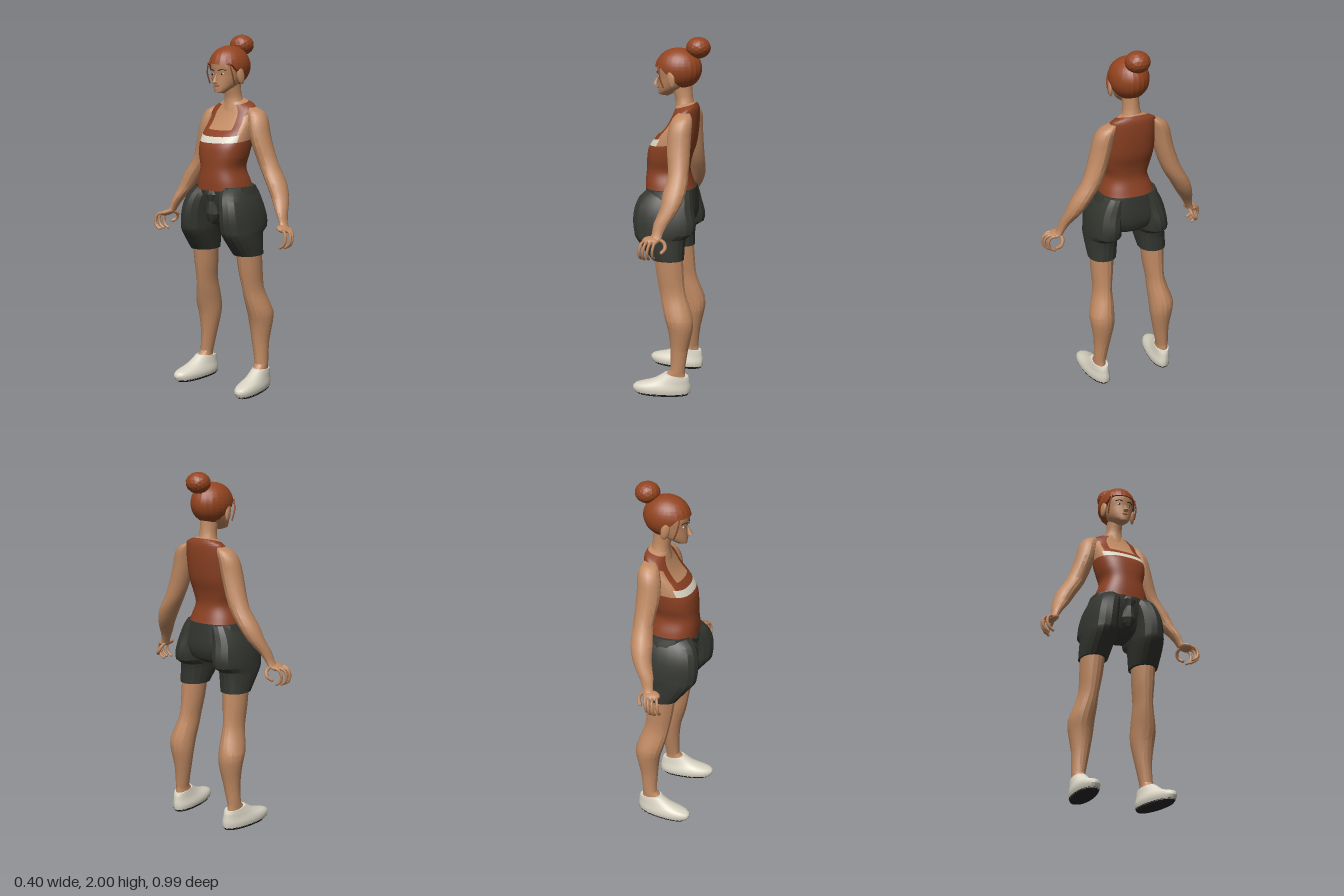
import * as THREE from 'three';
import { toCreasedNormals } from 'three/addons/utils/BufferGeometryUtils.js';

const mat = (name, color) => Object.assign(new THREE.MeshStandardMaterial({ color }), { name });
const skin = mat('skin', 0xbf8962);
const topCloth = mat('rust cloth', 0x8a4022);
const hairMat = mat('auburn hair', 0x93441f);
const shortsMat = mat('charcoal cloth', 0x343630);
const pale = mat('off white', 0xd9d4c4);
const soleMat = mat('dark sole', 0x262725);
const dark = mat('dark brown', 0x2c1a12);
const lipMat = mat('lips', 0x9a5a46);

function named(m, name) { m.name = name; return m; }

// Smooth interpolation through rows of six numbers; a missing tilt counts as zero
function smoothRows(rows, sub) {
  const at = i => {
    const [y, x0, x1, z, rz, tilt = 0] = rows[Math.max(0, Math.min(rows.length - 1, i))];
    return [y, x0, x1, z, rz, tilt];
  };
  const out = [];
  for (let i = 0; i < rows.length - 1; i++) {
    const [p, q, r, s] = [at(i - 1), at(i), at(i + 1), at(i + 2)];
    for (let k = 0; k < sub; k++) {
      const t = k / sub;
      out.push(q.map((b, c) => {
        const a = p[c], d = r[c], e = s[c];
        return b + 0.5 * t * (d - a + t * (2 * a - 5 * b + 4 * d - e + t * (3 * (b - d) + e - a)));
      }));
    }
  }
  out.push(at(rows.length - 1));
  return out;
}

// Body of stacked oval rings, low to high: [y, xFront, xBack, z, halfWidth, tilt]
// pick(row, degrees from the front) chooses the material of each panel
function loft(name, rows, materials, o = {}) {
  const { s = 1, seg = 16, sub = 2, pow = 1, pick = () => 0, bend = () => {}, crease = 0.5 } = o;
  const mats = [].concat(materials);
  const rings = smoothRows(rows, sub);
  const n = rings.length;
  const pts = [];
  const curve = v => Math.sign(v) * Math.abs(v) ** pow;
  const add = (x, y, z) => {
    const p = new THREE.Vector3(x, y, z);
    bend(p);
    p.z *= s;
    pts.push(p);
  };
  for (const [y, x0, x1, z, rz, tilt] of rings) {
    for (let j = 0; j < seg; j++) {
      const a = j / seg * Math.PI * 2;
      const dx = (x1 - x0) / 2 * curve(Math.cos(a));
      add((x0 + x1) / 2 + dx, y + tilt * dx, z + rz * curve(Math.sin(a)));
    }
  }
  for (const r of [rings[0], rings[n - 1]]) add((r[1] + r[2]) / 2, r[0], r[3]);

  const lists = mats.map(() => []);
  const tri = (list, a, b, c) => list.push(...(s > 0 ? [a, b, c] : [a, c, b]));
  const last = (n - 1) * seg;
  for (let j = 0; j < seg; j++) {
    const k = (j + 1) % seg;
    const angle = Math.abs((j + 0.5) / seg * 360 - 180);
    for (let i = 0; i < n - 1; i++) {
      const a = i * seg + j, b = i * seg + k;
      const list = lists[pick((i + 0.5) / sub, angle)];
      tri(list, a, a + seg, b);
      tri(list, b, a + seg, b + seg);
    }
    tri(lists[pick(0, angle)], n * seg, j, k);
    tri(lists[pick(rows.length - 1, angle)], n * seg + 1, last + k, last + j);
  }
  const g = new THREE.BufferGeometry().setFromPoints(pts);
  g.setIndex(lists.flat());
  let start = 0;
  lists.forEach((l, i) => { g.addGroup(start, l.length, i); start += l.length; });
  return named(new THREE.Mesh(toCreasedNormals(g, crease), mats.length > 1 ? mats : mats[0]), name);
}

function ball(name, material, pos, scale, w = 14, h = 10) {
  const m = named(new THREE.Mesh(new THREE.SphereGeometry(1, w, h), material), name);
  m.position.set(...pos);
  m.scale.set(...scale);
  return m;
}

function tube(name, material, points, r) {
  const path = new THREE.CatmullRomCurve3(points.map(p => new THREE.Vector3(...p)));
  const g = named(new THREE.Group(), name);
  g.add(new THREE.Mesh(new THREE.TubeGeometry(path, 10, r, 7), material));
  for (const p of [points[0], points[points.length - 1]]) g.add(ball(name + 'End', material, p, [r, r, r], 7, 6));
  return g;
}

function makeTorso() {
  // Sleeveless top with a scooped neck, open armholes and a pale chest band
  const pick = (row, angle) => {
    if (row > 4.2 && row < 4.8 && angle < 60) return 2;
    if (row > 7.6) return 1;
    if (row > 5.4 && angle < 30) return 1;
    if (row > 4.2 && row < 6.4 && angle > 52 && angle < 105) return 1;
    return 0;
  };
  return loft('torso', [
    [1.15, -0.155, 0.125, 0, 0.158], [1.2, -0.155, 0.108, 0, 0.145], [1.27, -0.15, 0.09, 0, 0.122],
    [1.34, -0.146, 0.1, 0, 0.138], [1.41, -0.134, 0.125, 0, 0.147, 0.08], [1.49, -0.095, 0.138, 0, 0.146, 0.3],
    [1.56, -0.035, 0.138, 0, 0.14, 0.5], [1.605, 0.0, 0.13, 0, 0.128, 0.4], [1.64, 0.015, 0.118, 0, 0.062, 0.2],
  ], [topCloth, skin, pale], { seg: 48, sub: 5, pow: 0.82, pick });
}

function makeHead() {
  const g = named(new THREE.Group(), 'head');
  g.add(loft('neck', [[1.58, 0.0, 0.125, 0, 0.075], [1.64, 0.01, 0.114, 0, 0.054], [1.68, 0.004, 0.105, 0, 0.045], [1.76, -0.02, 0.1, 0, 0.045]], skin));
  g.add(loft('face', [
    [1.682, -0.072, -0.03, 0, 0.014, -0.1], [1.695, -0.086, 0.01, 0, 0.034, 0.2], [1.72, -0.088, 0.06, 0, 0.058, 0.1],
    [1.755, -0.088, 0.09, 0, 0.073], [1.79, -0.088, 0.1, 0, 0.081], [1.84, -0.096, 0.1, 0, 0.086], [1.9, -0.06, 0.08, 0, 0.06],
  ], skin, { seg: 20 }));
  const nose = named(new THREE.Mesh(new THREE.ConeGeometry(0.016, 0.055, 5), skin), 'nose');
  nose.position.set(-0.095, 1.765, 0);
  nose.rotation.z = -0.3;
  g.add(nose, ball('lips', lipMat, [-0.087, 1.724, 0], [0.005, 0.006, 0.018], 10, 6));

  // Hair cap, cut along a hairline that drops towards the nape
  const cap = new THREE.SphereGeometry(1, 22, 18);
  const p = cap.attributes.position;
  for (let i = 0; i < p.count; i++) {
    const x = 0.025 + p.getX(i) * 0.13;
    const line = THREE.MathUtils.mapLinear(THREE.MathUtils.clamp(x, -0.06, 0.06), -0.06, 0.06, 1.84, 1.72);
    p.setXYZ(i, x, Math.max(line, 1.828 + p.getY(i) * 0.113), p.getZ(i) * 0.107);
  }
  g.add(named(new THREE.Mesh(toCreasedNormals(cap, 0.25), hairMat), 'hair'));
  const bun = named(new THREE.Mesh(toCreasedNormals(new THREE.IcosahedronGeometry(1, 2), 0.15), hairMat), 'bun');
  bun.position.set(0.134, 1.942, 0);
  bun.scale.set(0.068, 0.058, 0.068);
  g.add(bun);

  for (const s of [1, -1]) {
    const ear = ball('ear', skin, [0.002, 1.78, s * 0.096], [0.024, 0.05, 0.013], 10, 8);
    ear.rotation.set(0, -s * 0.3, 0.2);
    g.add(ear);
    g.add(ball('eyeWhite', pale, [-0.079, 1.787, s * 0.034], [0.006, 0.006, 0.012], 10, 6));
    g.add(ball('iris', dark, [-0.082, 1.787, s * 0.034], [0.005, 0.006, 0.006], 8, 6));
    g.add(tube('eyebrow', dark, [[-0.092, 1.806, s * 0.016], [-0.087, 1.812, s * 0.036], [-0.074, 1.808, s * 0.054]], 0.0025));
    g.add(tube('hairStrand', hairMat, [[-0.07, 1.845, s * 0.075], [-0.062, 1.79, s * 0.088], [-0.042, 1.735, s * 0.087]], 0.004));
  }
  return g;
}

function makeArm(s) {
  const g = named(new THREE.Group(), 'armAndHand');
  g.add(loft('arm', [
    [0.975, -0.045, 0.02, 0.41, 0.022], [1.0, -0.035, 0.025, 0.398, 0.021], [1.05, -0.03, 0.05, 0.377, 0.031],
    [1.12, -0.005, 0.098, 0.339, 0.047], [1.2, 0.003, 0.126, 0.298, 0.056], [1.29, 0.018, 0.13, 0.241, 0.056],
    [1.4, 0.003, 0.13, 0.2, 0.056], [1.48, 0.0, 0.13, 0.178, 0.057], [1.535, 0.008, 0.132, 0.165, 0.055],
    [1.58, 0.025, 0.128, 0.145, 0.045], [1.603, 0.05, 0.11, 0.12, 0.022],
  ], skin, { s, seg: 14, crease: 0.5 }));
  // Half-curled hand
  const palm = ball('palm', skin, [-0.035, 0.968, s * 0.422], [0.048, 0.017, 0.036], 12, 8);
  palm.rotation.x = s * 0.35;
  g.add(palm);
  [0.468, 0.484, 0.488, 0.472].forEach((reach, i) => {
    const x = -i * 0.023;
    g.add(tube('finger', skin, [
      [x, 0.968, s * 0.435], [x - 0.01, 0.957, s * (reach - 0.012)], [x - 0.017, 0.925, s * reach],
      [x - 0.019, 0.89, s * (reach - 0.01)], [x - 0.018, 0.874, s * (reach - 0.034)],
    ], 0.008));
  });
  g.add(tube('thumb', skin, [[-0.01, 0.975, s * 0.405], [0.03, 0.955, s * 0.402], [0.04, 0.925, s * 0.416], [0.025, 0.908, s * 0.436]], 0.01));
  return g;
}

function makeLeg(s) {
  const g = named(new THREE.Group(), 'legAndShoe');
  g.add(loft('bareLeg', [
    [0.06, 0.0, 0.11, 0.205, 0.036], [0.125, -0.002, 0.108, 0.205, 0.036], [0.15, 0.022, 0.106, 0.204, 0.037], [0.27, 0.02, 0.122, 0.191, 0.049],
    [0.38, 0.008, 0.146, 0.189, 0.067], [0.45, -0.012, 0.148, 0.19, 0.071], [0.53, -0.033, 0.122, 0.177, 0.061],
    [0.6, -0.047, 0.1, 0.168, 0.053], [0.7, -0.066, 0.09, 0.162, 0.062], [0.84, -0.085, 0.082, 0.157, 0.068],
  ], skin, { s, crease: 0.4 }));
  // Loose trouser leg, billowing forward over the thigh
  g.add(loft('shortsLeg', [
    [0.79, -0.092, 0.09, 0.156, 0.078], [0.85, -0.14, 0.092, 0.152, 0.084], [0.91, -0.187, 0.1, 0.147, 0.088],
    [0.94, -0.197, 0.145, 0.144, 0.09], [1.0, -0.204, 0.152, 0.14, 0.088], [1.07, -0.196, 0.135, 0.128, 0.085],
    [1.13, -0.172, 0.125, 0.108, 0.078], [1.168, -0.13, 0.115, 0.09, 0.07],
  ], shortsMat, { s, seg: 18, pow: 0.92, crease: 0.3 }));
  // Slip-on shoe, toe turned slightly outward
  const bend = p => { p.z -= (p.x - 0.06) * 0.1; };
  g.add(loft('sole', [[0, -0.165, 0.125, 0.202, 0.052], [0.014, -0.183, 0.136, 0.202, 0.06]], soleMat, { s, bend, seg: 24, sub: 1, pow: 0.9 }));
  g.add(loft('shoe', [
    [0.01, -0.18, 0.134, 0.202, 0.058], [0.035, -0.192, 0.138, 0.202, 0.063], [0.058, -0.178, 0.137, 0.203, 0.058],
    [0.076, -0.115, 0.134, 0.204, 0.051], [0.097, -0.06, 0.131, 0.205, 0.046], [0.12, -0.01, 0.125, 0.205, 0.041, -0.15],
  ], pale, { s, bend, seg: 24, pow: 0.9 }));
  return g;
}

export function createModel() {
  const model = named(new THREE.Group(), 'standingFigure');
  model.add(makeTorso(), makeHead());
  // Seat of the shorts, with gathered cloth hanging at the front
  model.add(loft('shortsSeat', [
    [0.94, -0.06, 0.07, 0, 0.07], [0.97, -0.1, 0.115, 0, 0.15], [1.03, -0.125, 0.135, 0, 0.2],
    [1.1, -0.145, 0.132, 0, 0.195], [1.172, -0.152, 0.126, 0, 0.172],
  ], shortsMat, { seg: 22, pow: 0.85, crease: 0.3 }));
  model.add(loft('gatheredCloth', [
    [0.97, -0.14, -0.08, 0, 0.02], [1.02, -0.16, -0.08, 0, 0.045], [1.09, -0.155, -0.09, 0, 0.028],
    [1.13, -0.163, -0.1, 0, 0.045], [1.165, -0.15, -0.1, 0, 0.03],
  ], shortsMat, { seg: 10, crease: 0.2 }));
  for (const s of [1, -1]) model.add(makeArm(s), makeLeg(s));
  return model;
}
